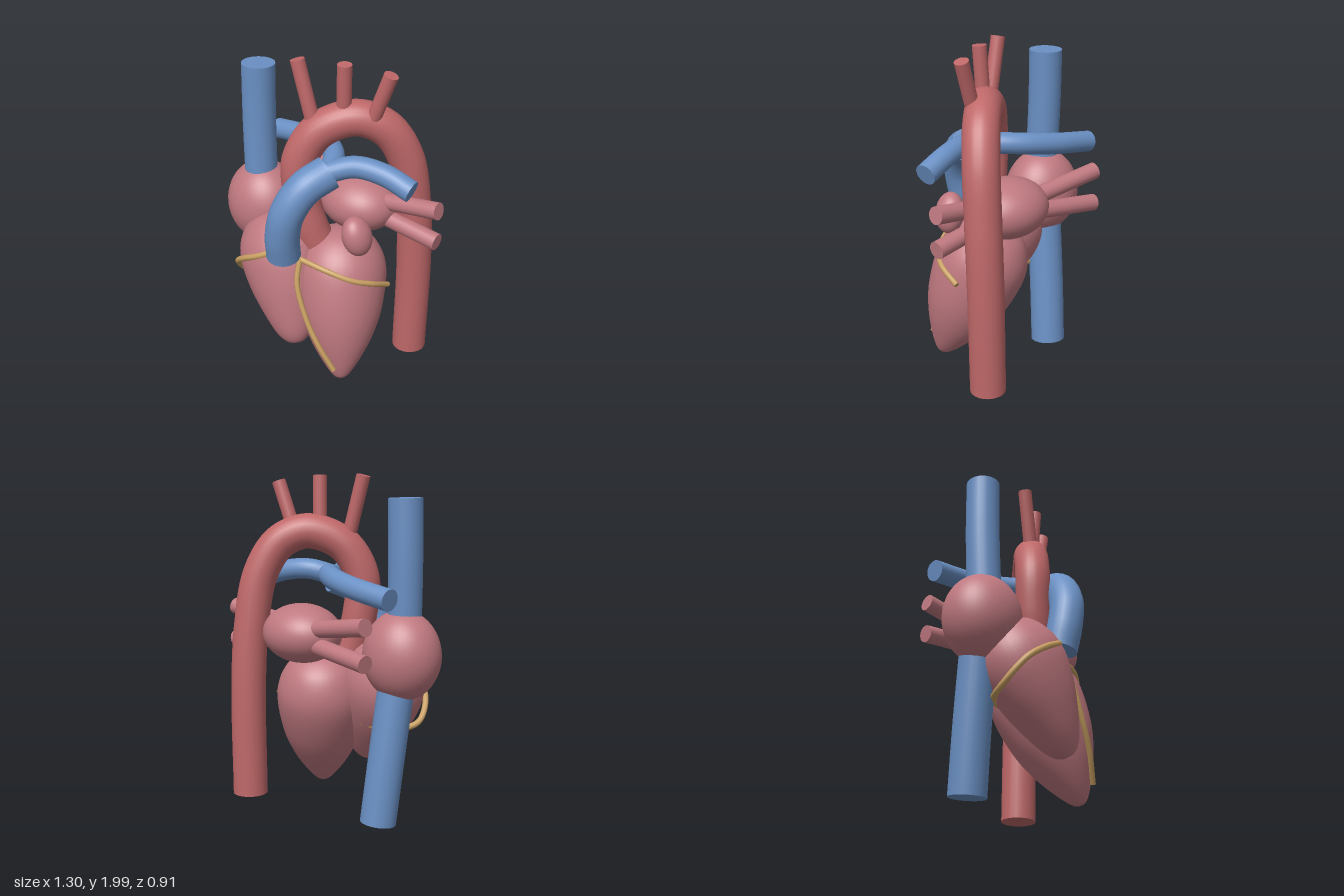
import * as THREE from 'three';

const material = (name, color) => {
  const m = new THREE.MeshStandardMaterial({ color });
  m.name = name;
  return m;
};

export function createModel() {
  const muscle = material('muscle pink', 0xbf7980);
  const artery = material('arterial red', 0xbf6869);
  const vein = material('venous blue', 0x6a90c4);
  const gold = material('coronary gold', 0xc9a062);

  const model = new THREE.Group();
  model.name = 'heart';
  const V = (p) => new THREE.Vector3(...p);

  // Capped tube through a few points
  function vessel(name, mat, radius, points, sides = 24) {
    const group = new THREE.Group();
    group.name = name;
    const curve = new THREE.CatmullRomCurve3(points.map(V), false, 'centripetal');
    const steps = points.length > 2 ? 12 * points.length : 1;
    const wall = new THREE.Mesh(new THREE.TubeGeometry(curve, steps, radius, sides), mat);
    wall.name = name + 'Wall';
    group.add(wall);
    for (const t of [0, 1]) {
      const cap = new THREE.Mesh(new THREE.CircleGeometry(radius, sides), mat);
      const outward = curve.getTangent(t).multiplyScalar(t ? 1 : -1);
      cap.position.copy(curve.getPoint(t));
      cap.quaternion.setFromUnitVectors(new THREE.Vector3(0, 0, 1), outward);
      cap.name = name + 'End';
      group.add(cap);
    }
    model.add(group);
  }

  function ellipsoid(name, center, radii, tilt = [0, 0, 0]) {
    const mesh = new THREE.Mesh(new THREE.SphereGeometry(1, 40, 28), muscle);
    mesh.position.set(...center);
    mesh.scale.set(...radii);
    mesh.rotation.set(...tilt);
    mesh.name = name;
    model.add(mesh);
  }

  // Teardrop chamber: profile of [radius, distance from tip], lathed from tip to base
  function ventricle(name, tip, base, profile, flatten) {
    const curve = new THREE.SplineCurve(profile.map(([r, h]) => new THREE.Vector2(r, h)));
    const points = curve.getPoints(40);
    points.forEach((p) => { p.x = Math.max(p.x, 0); });
    const mesh = new THREE.Mesh(new THREE.LatheGeometry(points, 40), muscle);
    const axis = V(base).sub(V(tip)).normalize();
    mesh.quaternion.setFromUnitVectors(new THREE.Vector3(0, 1, 0), axis);
    mesh.position.set(...tip);
    mesh.scale.z = flatten;
    mesh.name = name;
    model.add(mesh);
  }

  // Chambers
  ventricle('leftVentricle', [0.315, 0.08, 0.19], [0.13, 0.72, 0.01], [
    [0, 0], [0.045, 0.02], [0.115, 0.12], [0.19, 0.265], [0.245, 0.43],
    [0.272, 0.63], [0.255, 0.76], [0.19, 0.87], [0.1, 0.925], [0, 0.945],
  ], 1);
  ventricle('rightVentricle', [0.06, 0.27, 0.31], [-0.17, 0.75, 0.205], [
    [0, 0], [0.06, 0.015], [0.125, 0.09], [0.2, 0.26], [0.245, 0.4],
    [0.268, 0.54], [0.25, 0.66], [0.18, 0.77], [0.09, 0.82], [0, 0.835],
  ], 0.87);
  ellipsoid('rightAtrium', [-0.416, 0.99, 0.115], [0.234, 0.26, 0.214]);
  ellipsoid('leftAtrium', [0.1, 1.09, -0.175], [0.25, 0.172, 0.215]);
  ellipsoid('leftAuricle', [0.32, 1.037, 0.075], [0.08, 0.12, 0.09], [0.12, 0, 0.25]);

  // Great veins
  vessel('superiorVenaCava', vein, 0.097, [[-0.43, 1.87, 0.115], [-0.432, 1.55, 0.12], [-0.42, 1.1, 0.13]]);
  vessel('inferiorVenaCava', vein, 0.105, [[-0.41, 0.85, 0.085], [-0.39, 0.4, 0.025], [-0.37, 0.02, -0.02]]);

  // Aorta with its arch and three branches
  vessel('aorta', artery, 0.103, [
    [0.05, 0.82, 0.08], [0.0, 1.0, 0.13], [-0.04, 1.18, 0.155], [-0.05, 1.4, 0.163],
    [0.01, 1.57, 0.1], [0.1, 1.65, 0.01], [0.19, 1.668, -0.08], [0.29, 1.6, -0.185],
    [0.36, 1.42, -0.27], [0.388, 1.12, -0.32], [0.394, 0.75, -0.345], [0.385, 0.095, -0.35],
  ]);
  vessel('firstArchBranch', artery, 0.041, [[0.01, 1.6, 0.1], [-0.085, 1.99, 0.135]], 16);
  vessel('middleArchBranch', artery, 0.041, [[0.13, 1.65, -0.005], [0.147, 1.99, 0.01]], 16);
  vessel('lastArchBranch', artery, 0.041, [[0.25, 1.62, -0.08], [0.365, 1.955, -0.117]], 16);

  // Pulmonary trunk and its two branches
  vessel('pulmonaryTrunk', vein, 0.1, [
    [-0.015, 0.875, 0.33], [0.005, 1.02, 0.353], [0.04, 1.18, 0.342],
    [0.09, 1.32, 0.26], [0.145, 1.393, 0.125],
  ]);
  vessel('leftPulmonaryArtery', vein, 0.062, [
    [0.13, 1.39, 0.14], [0.26, 1.435, 0.035], [0.42, 1.42, -0.03], [0.58, 1.365, -0.07],
  ]);
  vessel('rightPulmonaryArtery', vein, 0.062, [
    [0.15, 1.4, 0.12], [0.06, 1.42, 0.0], [-0.085, 1.41, -0.095],
    [-0.29, 1.38, -0.14], [-0.555, 1.34, -0.138],
  ]);

  // Pulmonary veins, an upper and a lower one on each side
  for (const [level, inner, outer] of [['upper', 1.13, 1.2], ['lower', 1.05, 1.0]]) {
    vessel(level + 'LeftPulmonaryVein', muscle, 0.05, [[0.2, inner, -0.18], [0.64, outer, -0.24]], 18);
    vessel(level + 'RightPulmonaryVein', muscle, 0.05, [[-0.02, inner, -0.23], [-0.495, outer, -0.26]], 18);
  }

  // Coronary arteries
  vessel('frontCoronary', gold, 0.016, [
    [0.07, 0.87, 0.28], [0.09, 0.72, 0.325], [0.17, 0.51, 0.33], [0.25, 0.35, 0.31], [0.33, 0.19, 0.265],
  ], 10);
  vessel('leftCoronary', gold, 0.016, [
    [0.07, 0.86, 0.28], [0.23, 0.835, 0.235], [0.35, 0.785, 0.15], [0.41, 0.74, 0.04], [0.41, 0.67, -0.1],
  ], 10);
  vessel('rightCoronary', gold, 0.018, [
    [-0.04, 0.9, 0.36], [-0.15, 0.84, 0.415], [-0.26, 0.78, 0.425], [-0.36, 0.7, 0.39],
    [-0.41, 0.57, 0.27], [-0.33, 0.54, 0.12], [-0.16, 0.56, 0.05],
  ], 10);

  return model;
}
